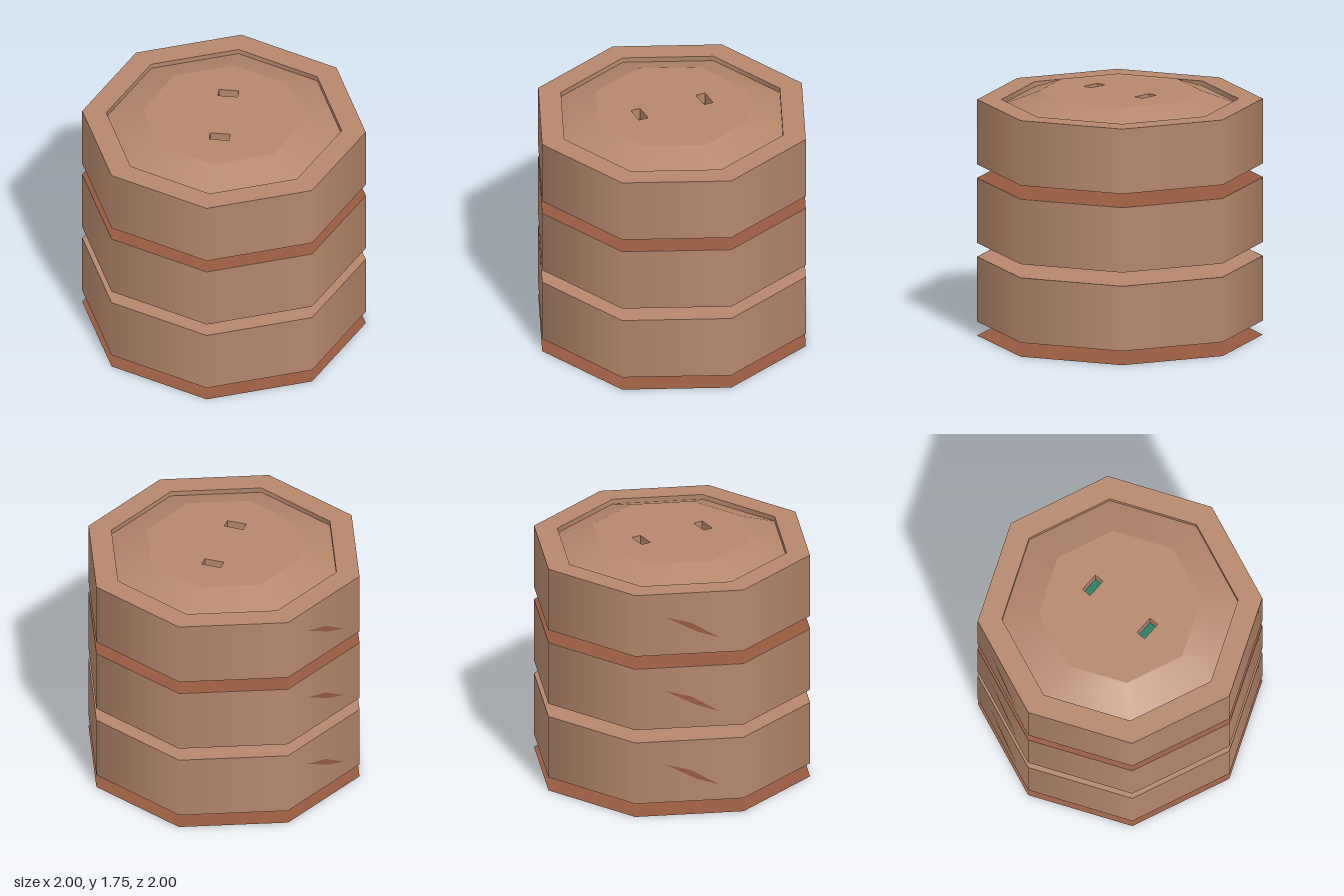
import * as THREE from 'three';

const SIDES = 8, PITCH = 0.563, SKIRT = 0.1, TOP = 0.565, LID_TOP = 1.75, LID_BASE = 1.655;

const clay = new THREE.MeshStandardMaterial({ color: 0xb5886c, side: THREE.DoubleSide });
clay.name = 'clay brown';
const rust = new THREE.MeshStandardMaterial({ color: 0x955a3f, side: THREE.DoubleSide });
rust.name = 'rust brown';
const green = new THREE.MeshStandardMaterial({ color: 0x237d62 });
green.name = 'green';

function add(parent, name, geometry, material, y = 0) {
  const mesh = new THREE.Mesh(geometry, material);
  mesh.name = name;
  mesh.position.y = y;
  parent.add(mesh);
  return mesh;
}

// Open octagonal wall between two heights
function wall(rTop, rBottom, y0, y1) {
  return new THREE.CylinderGeometry(rTop, rBottom, y1 - y0, SIDES, 1, true).translate(0, (y0 + y1) / 2, 0);
}

// Flat horizontal octagon facing up
const disc = (r) => new THREE.CircleGeometry(r, SIDES).rotateX(-Math.PI / 2);

// Thin slanted mark, drawn in the plane of one wall facet
function slantedMark() {
  const width = 2 * Math.sin(Math.PI / SIDES);
  const pts = [[0.275, 0.175], [0.56, 0.293], [0.78, 0.353], [0.52, 0.23]];
  const shape = new THREE.Shape(pts.map(([u, d]) => new THREE.Vector2((u - 0.5) * width, TOP - d)));
  return new THREE.ShapeGeometry(shape)
    .translate(0, 0, Math.cos(Math.PI / SIDES) + 0.003)
    .rotateY(THREE.MathUtils.degToRad(247.5));
}

function makeTier(i) {
  const tier = new THREE.Group();
  tier.name = 'tier' + (i + 1);
  tier.position.y = i * PITCH;
  add(tier, 'outerWall', wall(1, 1, SKIRT, TOP), clay);
  add(tier, 'slantedMark', slantedMark(), rust);

  // Inner drum hangs a little below the outer wall
  const drumTop = i === 2 ? 0.52 : 0.55;
  add(tier, 'innerDrum', wall(0.66, 0.66, 0.07, drumTop), clay);
  add(tier, 'drumBottom', disc(0.66), clay, 0.07);

  // Loose flat plate under each tier
  add(tier, 'floorPlate', disc(1), rust, i === 2 ? 0.004 : 0);
  if (i < 2) add(tier, 'tierTop', disc(1), clay, TOP - 0.001);
  return tier;
}

function makeLid() {
  const lid = new THREE.Group();
  lid.name = 'lid';
  const rimY = 2 * PITCH + TOP;
  add(lid, 'rim', new THREE.RingGeometry(0.83, 1, SIDES).rotateX(-Math.PI / 2), clay, rimY);
  add(lid, 'recessWall', wall(0.83, 0.83, LID_BASE, rimY), clay);
  add(lid, 'lidSlope', wall(0.57, 0.83, LID_BASE, LID_TOP), clay);
  add(lid, 'lidUnderside', disc(0.99), clay, LID_BASE - 0.01);

  // Flat centre with two slots cut through it
  const outline = Array.from({ length: SIDES }, (_, k) => {
    const a = (k / SIDES) * Math.PI * 2;
    return new THREE.Vector2(0.57 * Math.cos(a), 0.57 * Math.sin(a));
  });
  const panel = new THREE.Shape(outline);
  for (const z of [-0.25, 0.25]) {
    panel.holes.push(new THREE.Path([[-1, -1], [-1, 1], [1, 1], [1, -1]].map(
      ([sx, sy]) => new THREE.Vector2(sx * 0.07, sy * 0.035 - z))));
    // Coloured floor of the slot
    add(lid, 'slotFloor', new THREE.BoxGeometry(0.14, 0.008, 0.07), green, LID_BASE + 0.006).position.z = z;
  }
  const depth = LID_TOP - LID_BASE;
  add(lid, 'lidPanel', new THREE.ExtrudeGeometry(panel, { depth, bevelEnabled: false }).rotateX(-Math.PI / 2), clay, LID_BASE);
  return lid;
}

export function createModel() {
  const model = new THREE.Group();
  model.name = 'stackedTiers';
  for (let i = 0; i < 3; i++) model.add(makeTier(i));
  model.add(makeLid());
  return model;
}
